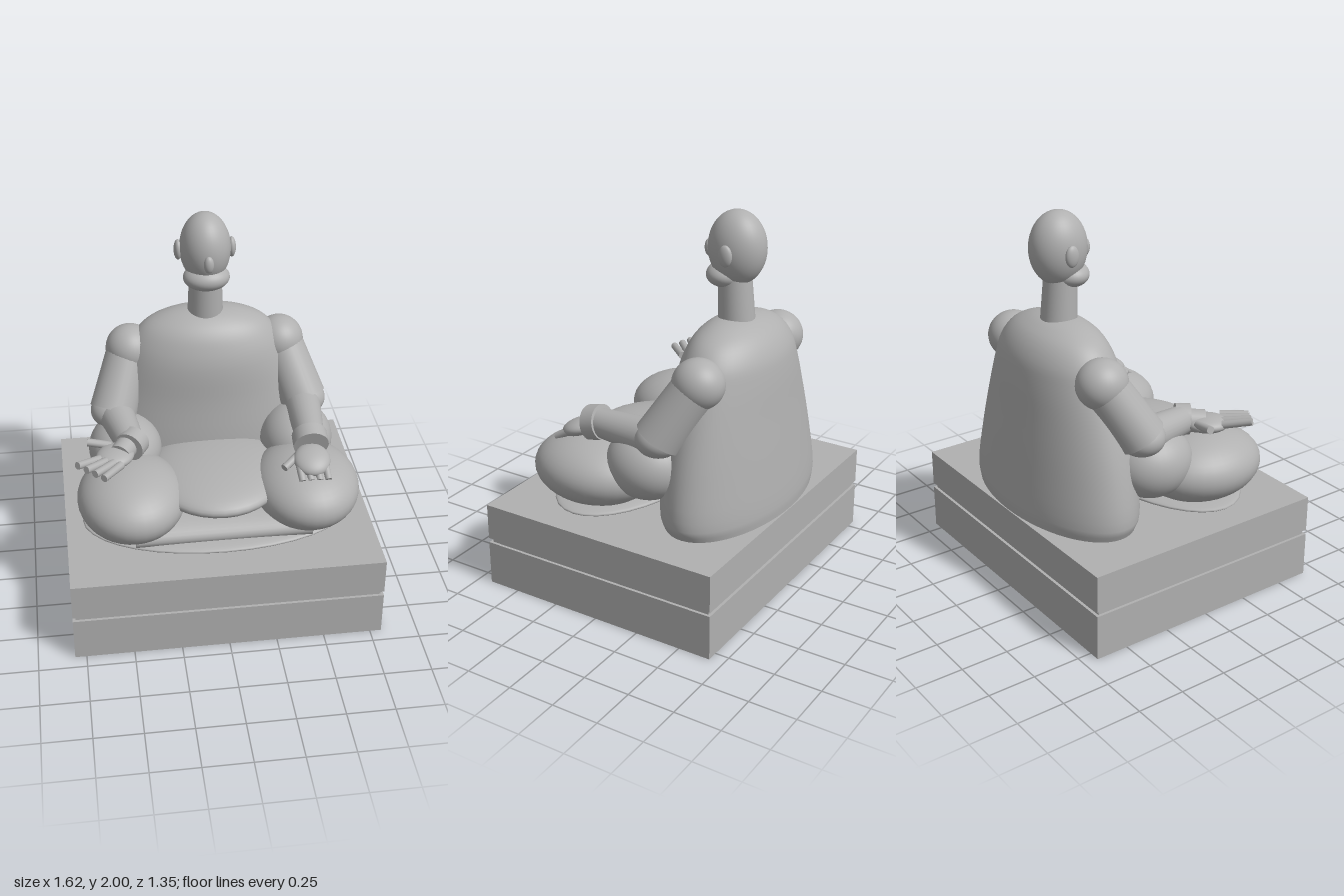
import * as THREE from 'three';
import { mergeVertices } from 'three/addons/utils/BufferGeometryUtils.js';

const stone = new THREE.MeshStandardMaterial({ color: 0xb0b0b0 });
stone.name = 'grey stone';

const V = (x, y, z) => new THREE.Vector3(x, y, z);

function add(parent, name, geometry, pos = [0, 0, 0]) {
  const mesh = new THREE.Mesh(geometry, stone);
  mesh.name = name;
  mesh.position.set(...pos);
  parent.add(mesh);
  return mesh;
}

function ellipsoid(parent, name, pos, radii) {
  return add(parent, name, new THREE.SphereGeometry(1, 36, 24).scale(...radii), pos);
}

// Tapered limb between two points
function limb(parent, name, a, b, ra, rb = ra, sides = 28) {
  const from = V(...a), to = V(...b), dir = to.clone().sub(from);
  const mesh = add(parent, name, new THREE.CylinderGeometry(rb, ra, dir.length(), sides));
  mesh.position.copy(from).add(to).multiplyScalar(0.5);
  mesh.quaternion.setFromUnitVectors(V(0, 1, 0), dir.normalize());
  return mesh;
}

// Robed torso: ellipses of varying width and depth stacked upward
function torsoGeometry() {
  // y, half width, front z, back z
  const rows = [
    [0.46, 0.59, -0.08, -0.67], [0.52, 0.612, -0.07, -0.672], [0.75, 0.575, -0.07, -0.65],
    [1.0, 0.505, -0.09, -0.622], [1.2, 0.435, -0.1, -0.6], [1.3, 0.39, -0.125, -0.578],
    [1.38, 0.32, -0.165, -0.53], [1.43, 0.22, -0.22, -0.465], [1.455, 0.11, -0.28, -0.4],
    [1.46, 0.001, -0.339, -0.341],
  ];
  const widths = new THREE.CatmullRomCurve3(rows.map(([y, a, f, b]) => V(a, y, (f + b) / 2)));
  const depths = new THREE.CatmullRomCurve3(rows.map(([y, , f, b]) => V((f - b) / 2, y, 0)));
  const steps = 36, around = 56, profile = [];
  for (let i = 0; i <= steps; i++) profile.push(new THREE.Vector2(1, i));
  let geo = new THREE.LatheGeometry(profile, around);
  const p = geo.attributes.position;
  for (let i = 0; i < p.count; i++) {
    const t = Math.round(p.getY(i)) / steps;
    const w = widths.getPoint(t), d = depths.getPoint(t);
    p.setXYZ(i, p.getX(i) * w.x, w.y, w.z + p.getZ(i) * d.x);
  }
  geo.deleteAttribute('normal');
  geo.deleteAttribute('uv');
  geo = mergeVertices(geo, 1e-5);
  geo.computeVertexNormals();
  return geo;
}

export function createModel() {
  const model = new THREE.Group();
  model.name = 'seated figure';

  // Plinth in two slabs with a recessed joint
  const plinth = new THREE.Group();
  plinth.name = 'plinth';
  model.add(plinth);
  add(plinth, 'lowerSlab', new THREE.BoxGeometry(1.62, 0.24, 1.35), [0, 0.12, 0]);
  add(plinth, 'recessedJoint', new THREE.BoxGeometry(1.59, 0.03, 1.32), [0, 0.252, 0]);
  add(plinth, 'upperSlab', new THREE.BoxGeometry(1.62, 0.195, 1.35), [0, 0.3625, 0]);

  add(model, 'torso', torsoGeometry());

  // Head
  const head = new THREE.Group();
  head.name = 'head';
  model.add(head);
  limb(head, 'neck', [0, 1.42, -0.338], [0, 1.68, -0.322], 0.095, 0.085);
  ellipsoid(head, 'skull', [0, 1.81, -0.335], [0.133, 0.19, 0.152]);
  ellipsoid(head, 'jaw', [0, 1.668, -0.28], [0.122, 0.068, 0.102]);
  ellipsoid(head, 'nose', [0, 1.785, -0.175], [0.026, 0.046, 0.024]);

  // Lap, shins and robe hem
  ellipsoid(model, 'lap', [0, 0.7, 0.09], [0.36, 0.096, 0.4]);
  const shins = add(model, 'shins', new THREE.CylinderGeometry(1, 1, 0.92, 36), [0, 0.55, 0.27]);
  shins.geometry.rotateZ(Math.PI / 2).scale(1, 0.085, 0.21);
  ellipsoid(model, 'robeHem', [0, 0.51, 0.19], [0.72, 0.043, 0.355]);

  // Mirrored parts
  for (const s of [1, -1]) {
    const side = s > 0 ? 'left' : 'right';
    ellipsoid(head, side + 'Ear', [s * 0.14, 1.8, -0.345], [0.022, 0.055, 0.037]);
    ellipsoid(model, side + 'Knee', [s * 0.46, 0.67, 0.22], [0.283, 0.185, 0.335]);
    ellipsoid(model, side + 'Thigh', [s * 0.465, 0.765, -0.1], [0.195, 0.185, 0.22]);
    ellipsoid(model, side + 'Shoulder', [s * 0.405, 1.23, -0.36], [0.13, 0.13, 0.135]);
    limb(model, side + 'UpperArm', [s * 0.41, 1.23, -0.36], [s * 0.515, 0.945, -0.2], 0.115, 0.127);
    ellipsoid(model, side + 'Elbow', [s * 0.515, 0.945, -0.2], [0.122, 0.095, 0.12]);
  }

  // Left arm, hand resting palm down on the knee
  const left = new THREE.Group();
  left.name = 'leftForearmAndHand';
  model.add(left);
  limb(left, 'forearm', [0.51, 0.935, -0.2], [0.487, 0.93, 0.17], 0.1, 0.075);
  limb(left, 'cuff', [0.485, 0.935, 0.155], [0.483, 0.915, 0.23], 0.092);
  ellipsoid(left, 'palm', [0.475, 0.875, 0.3], [0.095, 0.045, 0.1]).rotation.x = 0.35;
  limb(left, 'thumb', [0.42, 0.885, 0.25], [0.325, 0.855, 0.33], 0.02, 0.02, 12);
  for (let i = 0; i < 4; i++) {
    const x = 0.405 + i * 0.045;
    limb(left, 'finger', [x, 0.86, 0.33], [x + 0.005, 0.815, 0.405], 0.02, 0.018, 12);
  }

  // Right arm, hand open and palm up
  const right = new THREE.Group();
  right.name = 'rightForearmAndHand';
  model.add(right);
  limb(right, 'forearm', [-0.51, 0.935, -0.2], [-0.45, 0.93, 0.1], 0.1, 0.075);
  limb(right, 'cuff', [-0.42, 0.932, 0.08], [-0.46, 0.928, 0.145], 0.08);
  limb(right, 'wrist', [-0.45, 0.93, 0.1], [-0.51, 0.92, 0.2], 0.06, 0.06);
  ellipsoid(right, 'palm', [-0.535, 0.92, 0.2], [0.095, 0.042, 0.11]).rotation.y = -0.6;
  limb(right, 'thumb', [-0.55, 0.935, 0.125], [-0.67, 0.955, 0.11], 0.021, 0.021, 12);
  for (let i = 0; i < 4; i++) {
    const from = [-0.615 + i * 0.035, 0.93, 0.235 + i * 0.022];
    const to = [-0.73 + i * 0.042, 0.965 - i * 0.01, 0.33 + i * 0.028];
    limb(right, 'finger', from, to, 0.022, 0.02, 12);
  }

  return model;
}
